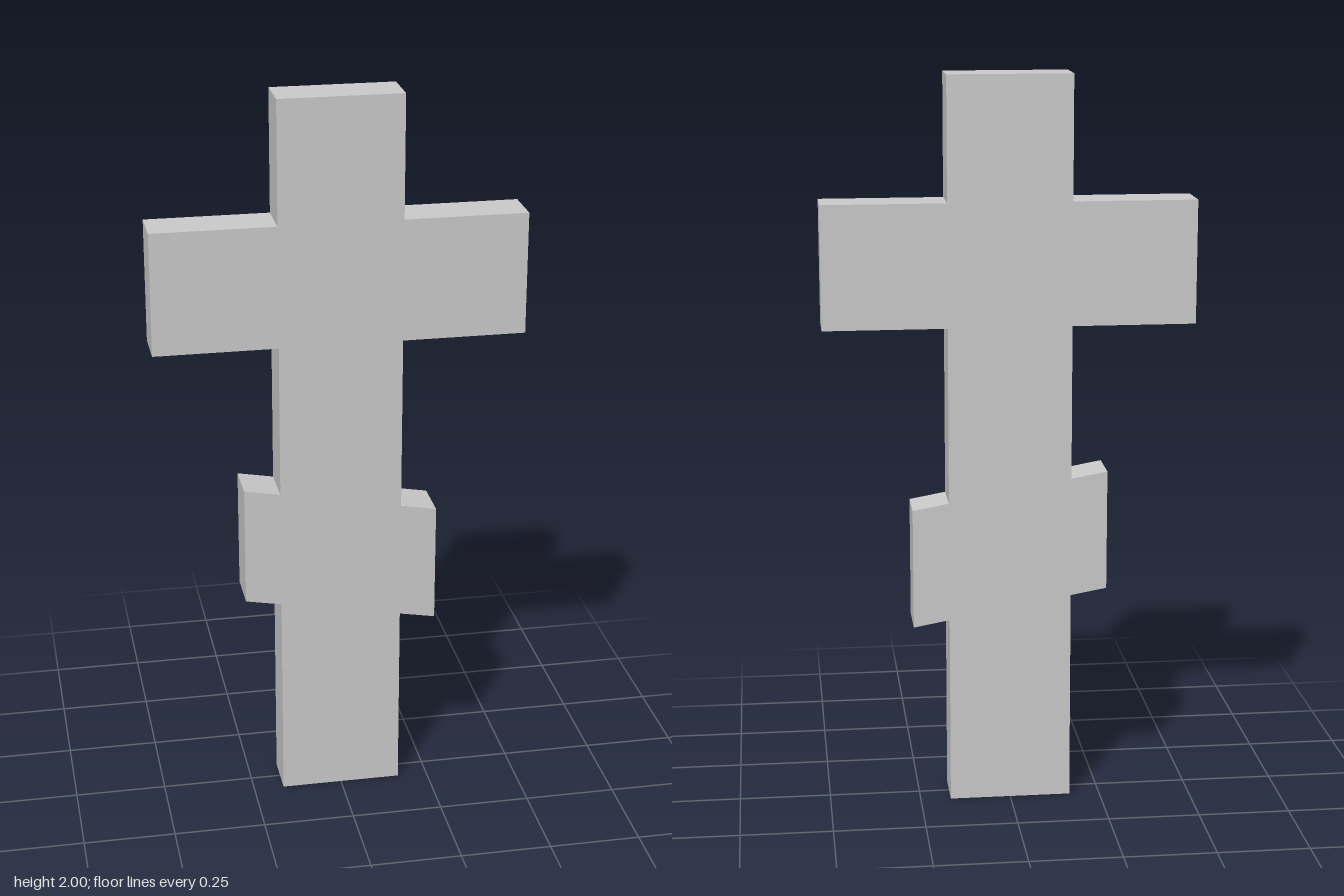
import * as THREE from 'three';

const DEPTH = 0.125;
const POST = 1 / 6;   // half width of the post, also half height of the bars
const ARM = 0.5;      // half length of the upper bar
const FOOT = 0.265;   // half length of the slanted lower bar

// Edge height of the lower bar at x; it falls toward +x
const footY = (x, side) => 0.718 - 0.18 * x + side * 0.165;

export function createModel() {
  const group = new THREE.Group();
  group.name = 'cross';

  // Outline of one side, from the bottom up: post, slanted bar, upper bar, top
  const sideOutline = (s) => [
    [POST, 0],
    [POST, footY(s * POST, -1)],
    [FOOT, footY(s * FOOT, -1)],
    [FOOT, footY(s * FOOT, 1)],
    [POST, footY(s * POST, 1)],
    [POST, 1.5 - POST],
    [ARM, 1.5 - POST],
    [ARM, 1.5 + POST],
    [POST, 1.5 + POST],
    [POST, 2],
  ].map(([x, y]) => new THREE.Vector2(s * x, y));

  // Up one side and down the other, as a single solid slab
  const shape = new THREE.Shape([...sideOutline(1), ...sideOutline(-1).reverse()]);
  const geometry = new THREE.ExtrudeGeometry(shape, { depth: DEPTH, bevelEnabled: false });
  geometry.translate(0, 0, -DEPTH / 2);

  const body = new THREE.Mesh(
    geometry,
    new THREE.MeshStandardMaterial({ color: 0xcccccc, flatShading: true })
  );
  body.name = 'crossBody';
  group.add(body);
  return group;
}
